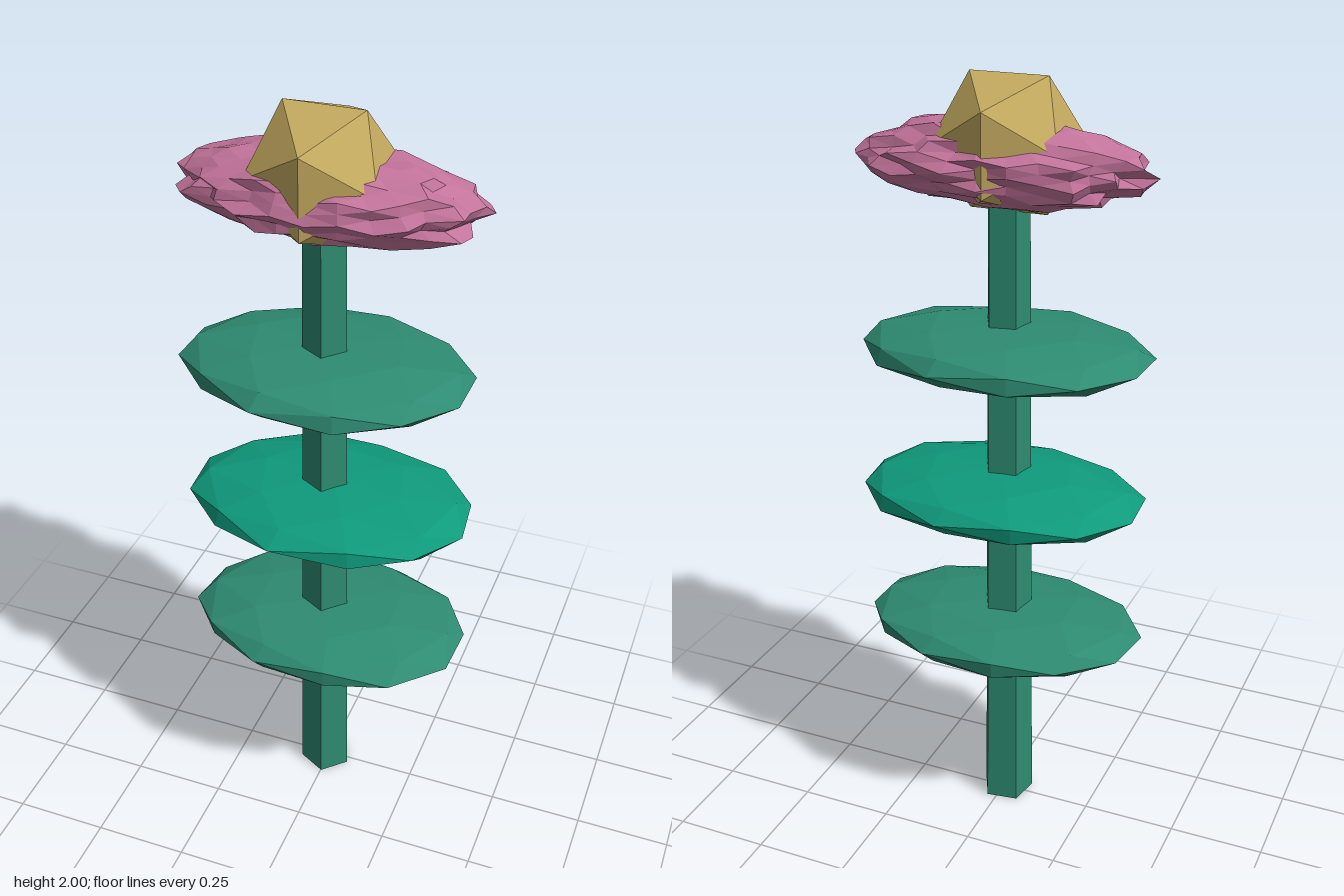
import * as THREE from 'three';

const mat = (color) => new THREE.MeshStandardMaterial({ color, flatShading: true });

function add(group, name, geometry, color, x, y, z) {
  const mesh = new THREE.Mesh(geometry, mat(color));
  mesh.name = name;
  mesh.position.set(x, y, z);
  group.add(mesh);
  return mesh;
}

// Repeatable value 0..1 shared by all coincident corners of a faceted ball
function hash(v, seed) {
  const k = Math.round(v.x * 1000) * 12.9898 + Math.round(v.y * 1000) * 78.233
    + Math.round(v.z * 1000) * 37.719 + seed * 4.17;
  const s = Math.sin(k) * 43758.5453;
  return s - Math.floor(s);
}

// Faceted ball with its corners pushed in or out between radii low and high
function roughBall(detail, low, high, seed) {
  const geometry = new THREE.IcosahedronGeometry(1, detail);
  const p = geometry.attributes.position;
  const v = new THREE.Vector3();
  for (let i = 0; i < p.count; i++) {
    v.fromBufferAttribute(p, i);
    v.multiplyScalar(low + (high - low) * hash(v, seed));
    p.setXYZ(i, v.x, v.y, v.z);
  }
  return geometry;
}

export function createModel() {
  const flower = new THREE.Group();
  flower.name = 'flower';

  // Five-sided tapering stem
  const stem = new THREE.CylinderGeometry(0.055, 0.071, 1.75, 5);
  stem.rotateY(THREE.MathUtils.degToRad(8));
  add(flower, 'stem', stem, 0x2e8b72, -0.008, 0.875, 0.006);

  // Three flattened leaf discs
  const leaves = [
    { x: 0.005, y: 0.543, z: 0.01, turn: 20, color: 0x2e8b72 },
    { x: 0.006, y: 0.938, z: -0.003, turn: 11, color: 0x0f9a7c },
    { x: -0.01, y: 1.33, z: -0.005, turn: 15, color: 0x2e8b72 },
  ];
  leaves.forEach(({ x, y, z, turn, color }, i) => {
    const leaf = roughBall(1, 0.97, 1.03, i + 1);
    leaf.rotateY(-THREE.MathUtils.degToRad(turn));
    leaf.scale(0.378, 0.07, 0.27);
    leaf.computeVertexNormals();
    add(flower, 'leafDisc' + (i + 1), leaf, color, x, y, z);
  });

  // Spiky, elongated petal mass
  const petals = roughBall(4, 0.87, 1.06, 9);
  petals.scale(0.375, 0.103, 0.172);
  petals.computeVertexNormals();
  add(flower, 'petals', petals, 0xc4749c, 0, 1.795, 0);

  // Faceted flower centre
  add(flower, 'flowerCentre', new THREE.IcosahedronGeometry(0.19, 0), 0xc4aa60, -0.013, 1.838, 0.003);

  return flower;
}
